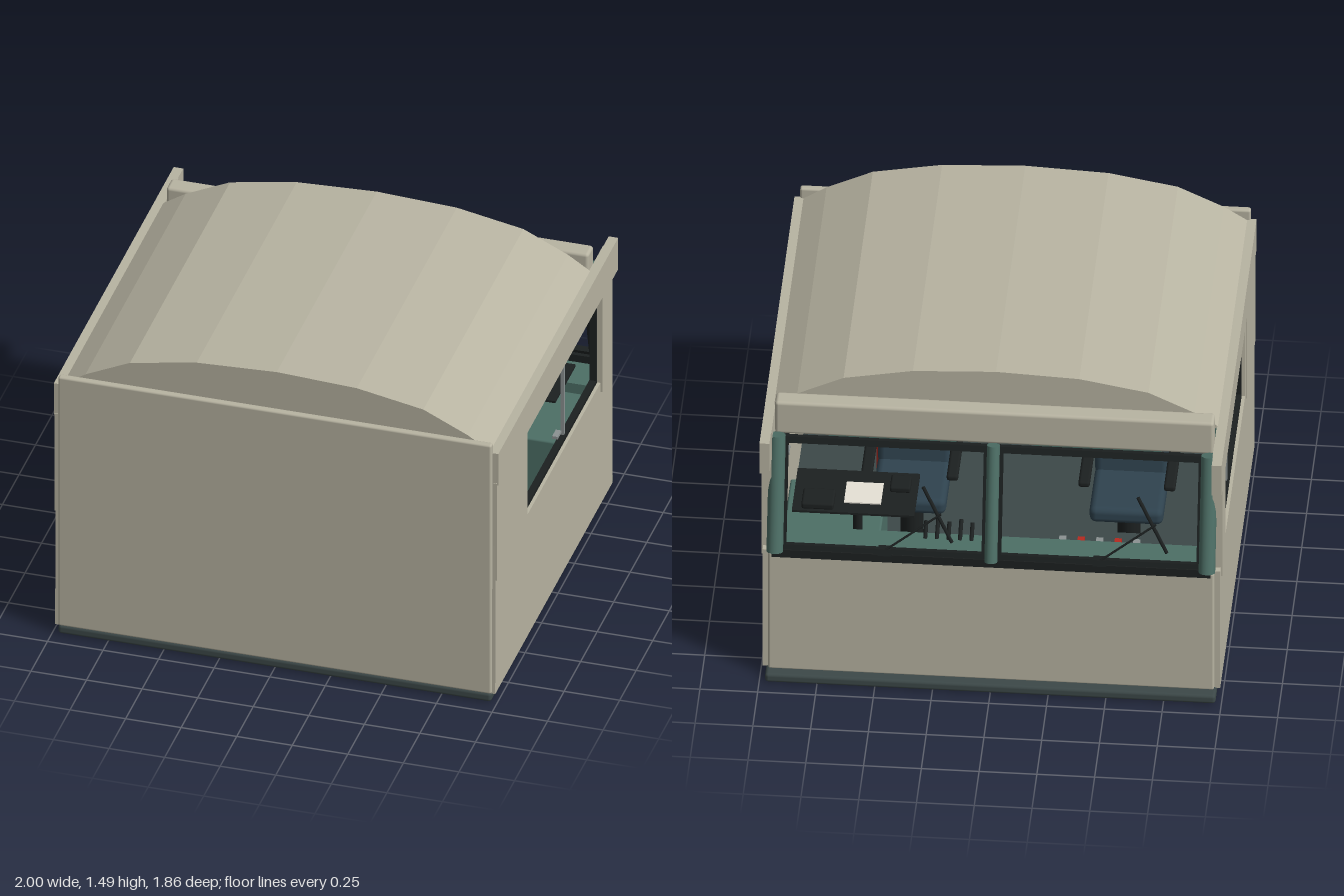
import * as THREE from 'three';
import { RoundedBoxGeometry } from 'three/addons/geometries/RoundedBoxGeometry.js';

const mat = (color, side = THREE.FrontSide) => new THREE.MeshStandardMaterial({ color, side });
const beige = mat(0xb8b4a2), teal = mat(0x4d6f66), dark = mat(0x1c2020), base = mat(0x3c4848);
const blue = mat(0x2f434f), grey = mat(0x8b9292), red = mat(0xb52a20), white = mat(0xe6e2d6), brown = mat(0x6b3d22);

export function createModel() {
  const root = new THREE.Group();

  const add = (name, geo, m, parent = root) => {
    const mesh = new THREE.Mesh(geo, m);
    mesh.name = name;
    parent.add(mesh);
    return mesh;
  };
  // box given by its minimum and maximum on each axis; r rounds the edges
  const box = (name, m, [x0, x1], [y0, y1], [z0, z1], parent = root, r = 0) => {
    const s = [x1 - x0, y1 - y0, z1 - z0];
    const mesh = add(name, r ? new RoundedBoxGeometry(...s, 2, r) : new THREE.BoxGeometry(...s), m, parent);
    mesh.position.set((x0 + x1) / 2, (y0 + y1) / 2, (z0 + z1) / 2);
    return mesh;
  };
  // round bar between two points
  const rod = (name, m, a, b, r, parent = root, sides = 12) => {
    const p = new THREE.Vector3(...a), q = new THREE.Vector3(...b);
    const mesh = add(name, new THREE.CylinderGeometry(r, r, p.distanceTo(q), sides), m, parent);
    mesh.position.copy(p).add(q).multiplyScalar(0.5);
    mesh.quaternion.setFromUnitVectors(new THREE.Vector3(0, 1, 0), q.sub(p).normalize());
    return mesh;
  };
  const polygon = pts => new THREE.Shape(pts.map(p => new THREE.Vector2(...p)));
  const extrude = (shape, depth) => new THREE.ExtrudeGeometry(shape, { depth, bevelEnabled: false });

  // base, rear and front walls
  box('basePlate', base, [-0.975, 0.975], [0, 0.045], [-0.93, 0.93], root, 0.015);
  box('underside', dark, [-0.96, 0.96], [-0.001, 0.01], [-0.915, 0.915]);
  box('floor', base, [-0.955, 0.955], [0.04, 0.055], [-0.86, 0.9]);
  box('rearWall', beige, [-0.975, 0.975], [0.04, 1.31], [0.895, 0.928], root, 0.01);
  box('frontWall', beige, [-0.965, 0.965], [0.04, 0.66], [-0.882, -0.85], root, 0.01);
  box('frontSill', dark, [-0.95, 0.95], [0.64, 0.68], [-0.885, -0.83]);

  // side walls with their window openings, mirrored
  for (const s of [-1, 1]) {
    const side = new THREE.Group();
    side.name = s > 0 ? 'leftSide' : 'rightSide';
    root.add(side);
    const X = (a, b) => (s > 0 ? [a, b] : [-b, -a]);
    // drawn in (-z, y), then turned to stand along z
    const wall = polygon([[-0.918, 0.04], [0.86, 0.04], [0.86, 0.66], [0.83, 0.66], [0.83, 1.26], [-0.905, 1.26]]);
    wall.holes.push(new THREE.Path([[-0.43, 0.66], [-0.43, 1.1], [0.675, 1.1], [0.675, 0.66]].map(p => new THREE.Vector2(...p))));
    const panel = add('sideWall', extrude(wall, 0.035), beige, side);
    panel.rotation.y = Math.PI / 2;
    panel.position.x = s > 0 ? 0.955 : -0.99;
    box('windowHeader', beige, X(0.957, 1), [1.1, 1.26], [-0.91, 0.905], side);
    box('cornerPost', beige, X(0.957, 0.998), [0.615, 1.11], [-0.83, -0.675], side);
    box('rearSidePanel', beige, X(0.98, 0.995), [0.615, 1.11], [0.475, 0.91], side);
    // dark window frame, divider and handle
    box('windowFrameBottom', dark, X(0.945, 0.975), [0.655, 0.677], [-0.675, 0.43], side);
    box('windowFrameTop', dark, X(0.945, 0.97), [1.095, 1.115], [-0.675, 0.43], side);
    for (const z of [-0.667, 0.427]) box('windowFrameEnd', dark, X(0.945, 0.975), [0.66, 1.1], [z - 0.009, z + 0.009], side);
    box('windowDivider', grey, X(0.95, 0.966), [0.67, 1.1], [-0.217, -0.202], side);
    box('windowLatch', grey, X(0.93, 0.955), [0.687, 0.7], [-0.2, -0.145], side);
    rod('grabHandle', grey, [s * 0.93, 0.67, 0.44], [s * 0.93, 0.83, 0.44], 0.008, side);
  }

  // arched roof shell of flat facets
  const arch = [[0.96, 1.26], [0.86, 1.325], [0.66, 1.42], [0.36, 1.475], [0, 1.492]];
  const full = [...arch, ...arch.slice(0, -1).reverse().map(([x, y]) => [-x, y])];
  const inner = full.map(([x, y]) => [x * 0.975, y - 0.025]).reverse();
  add('roof', extrude(polygon([...full, ...inner]), 1.515), beige).position.z = -0.62;
  for (const z of [-0.615, 0.87]) {
    add('roofGable', extrude(polygon(full.map(([x, y]) => [x * 0.995, y - 0.004])), 0.02), beige).position.z = z;
  }
  box('windshieldHeader', beige, [-0.95, 0.95], [1.17, 1.337], [-0.71, -0.625], root, 0.015);

  // sloping windshield: pillars, frames and wipers
  const shield = new THREE.Group();
  shield.name = 'windshield';
  shield.position.set(0, 0.67, -0.868);
  shield.rotation.x = 0.26;
  root.add(shield);
  for (const x of [-0.935, 0, 0.935]) {
    const r = x ? 0.036 : 0.028;
    rod('windshieldPillar', teal, [x, 0, -0.025], [x, 0.54, -0.025], r, shield, 16);
  }
  for (const s of [-1, 1]) {
    const [a, b] = s > 0 ? [0.02, 0.91] : [-0.91, -0.02];
    box('paneFrameBottom', dark, [a, b], [0, 0.03], [-0.015, 0.015], shield);
    box('paneFrameTop', dark, [a, b], [0.5, 0.53], [-0.015, 0.015], shield);
    for (const x of [a, b - 0.022]) box('paneFrameSide', dark, [x, x + 0.022], [0, 0.53], [-0.015, 0.015], shield);
    const px = s > 0 ? 0.46 : -0.47;
    box('wiperMotor', dark, [px - 0.03, px + 0.03], [0.005, 0.035], [-0.035, 0.02], shield);
    rod('wiperArm', dark, [px, 0.03, -0.03], [px - 0.24, 0.21, -0.03], 0.005, shield, 8);
    rod('wiperBlade', dark, [px - 0.29, 0.08, -0.025], [px - 0.16, 0.33, -0.025], 0.008, shield, 8);
  }

  // dashboard and the driver's console
  box('dashboard', teal, [-0.94, 0.94], [0.56, 0.645], [-0.85, -0.66]);
  box('dashboardFront', base, [-0.94, 0.94], [0.055, 0.56], [-0.85, -0.72]);
  box('console', teal, [0.5, 0.92], [0.055, 0.6], [-0.66, -0.25], root, 0.01);
  box('assistantConsole', base, [-0.92, -0.2], [0.3, 0.58], [-0.72, -0.5]);
  for (let i = 0; i < 5; i++) {
    box('switch', i % 2 ? red : grey, [-0.3 - i * 0.08, -0.27 - i * 0.08], [0.58, 0.6], [-0.6, -0.57]);
    rod('lever', dark, [0.1 + i * 0.05, 0.64, -0.7], [0.1 + i * 0.05, 0.695, -0.64 + 0.02 * (i % 2)], 0.009, root, 8);
  }
  box('tableTop', dark, [0.35, 0.88], [0.728, 0.738], [-0.67, -0.36]);
  box('tableEdge', brown, [0.36, 0.87], [0.722, 0.728], [-0.66, -0.4]);
  rod('tableLeg', dark, [0.6, 0.58, -0.6], [0.6, 0.73, -0.6], 0.02);
  box('paper', white, [0.5, 0.66], [0.738, 0.744], [-0.6, -0.45]);
  box('deskInstrument', dark, [0.7, 0.84], [0.738, 0.77], [-0.66, -0.54], root, 0.01);
  box('deskBox', dark, [0.38, 0.47], [0.738, 0.768], [-0.51, -0.41], root, 0.01);

  // two seats
  for (const x of [-0.52, 0.42]) {
    const seat = new THREE.Group();
    seat.name = 'seat';
    seat.position.set(x, 0, 0.05);
    root.add(seat);
    rod('seatPost', dark, [0, 0.055, 0], [0, 0.36, 0], 0.05, seat);
    box('seatCushion', blue, [-0.16, 0.16], [0.34, 0.42], [-0.17, 0.17], seat, 0.03);
    const back = box('seatBack', blue, [-0.16, 0.16], [0.38, 0.645], [0.13, 0.2], seat, 0.03);
    back.rotation.x = 0.1;
    for (const s of [-1, 1]) {
      box('armRest', dark, [s * 0.185 - 0.025, s * 0.185 + 0.025], [0.5, 0.53], [-0.13, 0.15], seat, 0.012);
    }
  }

  // rear of the cab
  box('rearDoor', teal, [-0.85, -0.4], [0.06, 1.2], [0.88, 0.896]);
  rod('doorHandle', grey, [-0.45, 0.5, 0.87], [-0.45, 0.65, 0.87], 0.01);
  rod('extinguisher', red, [0.57, 0.055, 0.6], [0.57, 0.32, 0.6], 0.05, root, 16);
  rod('extinguisherValve', dark, [0.57, 0.32, 0.6], [0.57, 0.37, 0.6], 0.02);

  // ceiling fittings: light, sun visors and fans
  box('ceilingLight', grey, [-0.06, 0.06], [1.43, 1.47], [-0.22, 0.22]);
  box('ceilingLightPanel', white, [-0.035, 0.035], [1.425, 1.44], [-0.18, 0.18]);
  for (const s of [-1, 1]) {
    rod('sunVisor', teal, [s * 0.17, 1.14, -0.64], [s * 0.72, 1.14, -0.64], 0.022);
    const fan = new THREE.Group();
    fan.name = 'fan';
    fan.position.set(s * 0.65, 1.19, -0.22);
    root.add(fan);
    for (const r of [0.1, 0.065, 0.03]) add('fanGuardRing', new THREE.TorusGeometry(r, 0.005, 6, 24), dark, fan);
    for (let i = 0; i < 6; i++) {
      const a = (i * Math.PI) / 6, c = Math.cos(a) * 0.1, d = Math.sin(a) * 0.1;
      rod('fanGuardSpoke', dark, [-c, -d, 0], [c, d, 0], 0.004, fan, 6);
    }
    rod('fanMotor', dark, [0, 0, 0], [0, 0, 0.08], 0.03, fan);
    rod('fanBracket', dark, [0, 0, 0.06], [0, 0.21, 0.06], 0.01, fan);
  }
  return root;
}
